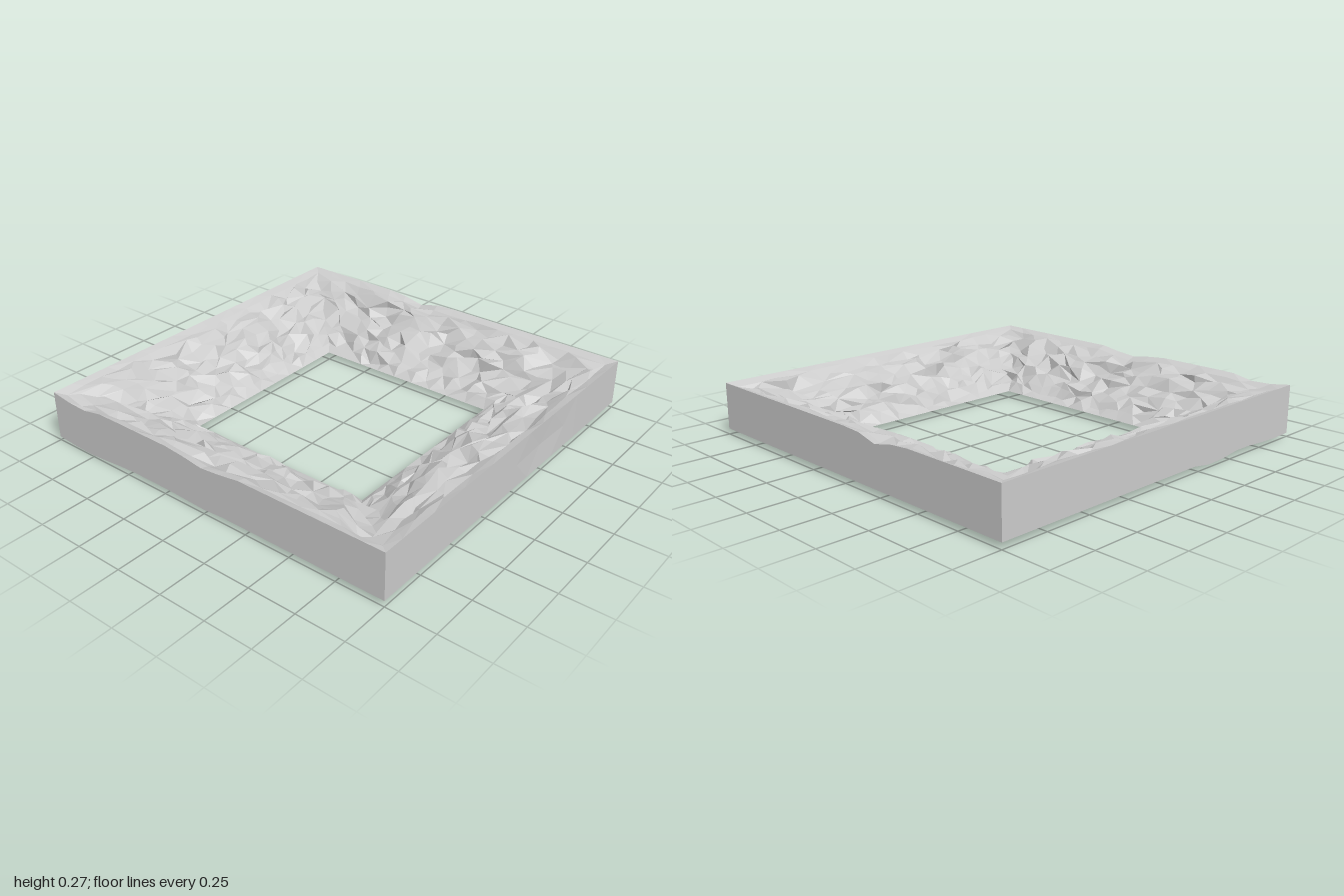
import * as THREE from 'three';

const SEG = 18;                        // columns along each side
const TOP = 0.27, BASE = 0.03, OUT = 1, IN = 0.515;

// repeatable value in -1..1
function rand(i, j, k) {
  const s = Math.sin(i * 127.1 + j * 311.7 + k * 74.7 + 5.3) * 43758.5453;
  return 2 * (s - Math.floor(s)) - 1;
}

// sag spots [x, z, radius, depth]
const baseSags = [
  [-0.9, -0.8, 0.32, 0.035], [-0.38, -1, 0.14, 0.025], [-0.85, -0.02, 0.2, 0.035],
  [0.77, -0.65, 0.22, 0.03], [-0.66, 0.74, 0.17, 0.025], [-0.72, -0.4, 0.12, 0.02],
];
const rimSags = [
  [1, -0.23, 0.14, 0.035], [-1, -0.82, 0.16, 0.03], [-1, 0.02, 0.2, 0.03],
];
function sag(list, x, z) {
  let d = 0;
  for (const [sx, sz, r, depth] of list) {
    d = Math.max(d, depth * Math.max(0, 1 - Math.hypot(x - sx, z - sz) / r));
  }
  return d;
}

// point on a square ring of half-width w, column j, counted round the four sides
function ringPoint(w, j) {
  const side = Math.floor(j / SEG) % 4;
  const t = (2 * (j % SEG) / SEG - 1) * w;
  return [[t, w], [w, -t], [-t, -w], [-w, t]][side];
}

// skin between square rings; shape(row, column, x, z, y) returns the final corner
function loftRings(name, rings, shape, material) {
  const cols = SEG * 4, pos = [], index = [];
  rings.forEach(([w, y], i) => {
    for (let j = 0; j < cols; j++) {
      const [x, z] = ringPoint(w, j);
      pos.push(...shape(i, j, x, z, y));
    }
  });
  for (let i = 0; i < rings.length - 1; i++) {
    for (let j = 0; j < cols; j++) {
      const a = i * cols + j, b = i * cols + (j + 1) % cols;
      const c = a + cols, d = b + cols;
      if ((i + j) % 2) index.push(a, b, d, a, d, c);
      else index.push(a, b, c, b, d, c);
    }
  }
  const geo = new THREE.BufferGeometry();
  geo.setAttribute('position', new THREE.Float32BufferAttribute(pos, 3));
  geo.setIndex(index);
  geo.computeVertexNormals();
  const mesh = new THREE.Mesh(geo, material);
  mesh.name = name;
  return mesh;
}

export function createModel() {
  const group = new THREE.Group();
  group.name = 'rockyPitBorder';
  const stone = new THREE.MeshStandardMaterial({
    color: 0xcccccc, flatShading: true, side: THREE.DoubleSide,
  });

  // flat underside and upright outer walls
  const frameRings = [];
  for (let i = 0; i <= 5; i++) frameRings.push([IN + (OUT - IN) * i / 5, BASE]);
  frameRings.push([OUT, (TOP + BASE) / 2], [OUT, TOP]);
  group.add(loftRings('outerWallsAndUnderside', frameRings, (i, j, x, z, y) => {
    if (y === BASE) return [x, Math.max(0, y - sag(baseSags, x, z)), z];
    if (y === TOP) return [x, y - sag(rimSags, x, z), z];
    const dent = z === OUT ? 0.008 * Math.max(0, 1 - Math.abs(x - 0.25) / 0.25) : 0;
    return [x, y, z - dent];
  }, stone));

  // craggy bank falling from the rim to the opening
  const ROWS = 11, slopeRings = [];
  for (let i = 0; i <= ROWS; i++) {
    const s = i / ROWS;
    slopeRings.push([OUT + (IN - OUT) * s, TOP + (BASE - TOP) * s + 0.02 * Math.sin(Math.PI * s)]);
  }
  group.add(loftRings('rockySlope', slopeRings, (i, j, x, z, y) => {
    const edge = i === 0 || i === ROWS;
    const rough = edge ? 0 : i === 1 ? 0.2 : 1;
    const wave = 0.012 * Math.sin(7 * x + 4 * z) * Math.cos(6 * z - 3 * x);
    const h = y + rough * (wave + 0.026 * rand(i, j, 0)) - sag(rimSags, x, z);
    return [
      x + rough * 0.028 * rand(i, j, 1),
      Math.min(TOP - (i ? 0.01 : 0), Math.max(BASE, h)),
      z + rough * 0.028 * rand(i, j, 2),
    ].map((v, k) => (k === 1 || !rough || i < ROWS - 1 ? v
      // the last row stays clear of the opening
      : (k === 0 ? x + 0.01 * rand(i, j, 1) : z + 0.01 * rand(i, j, 2))));
  }, stone));

  return group;
}
